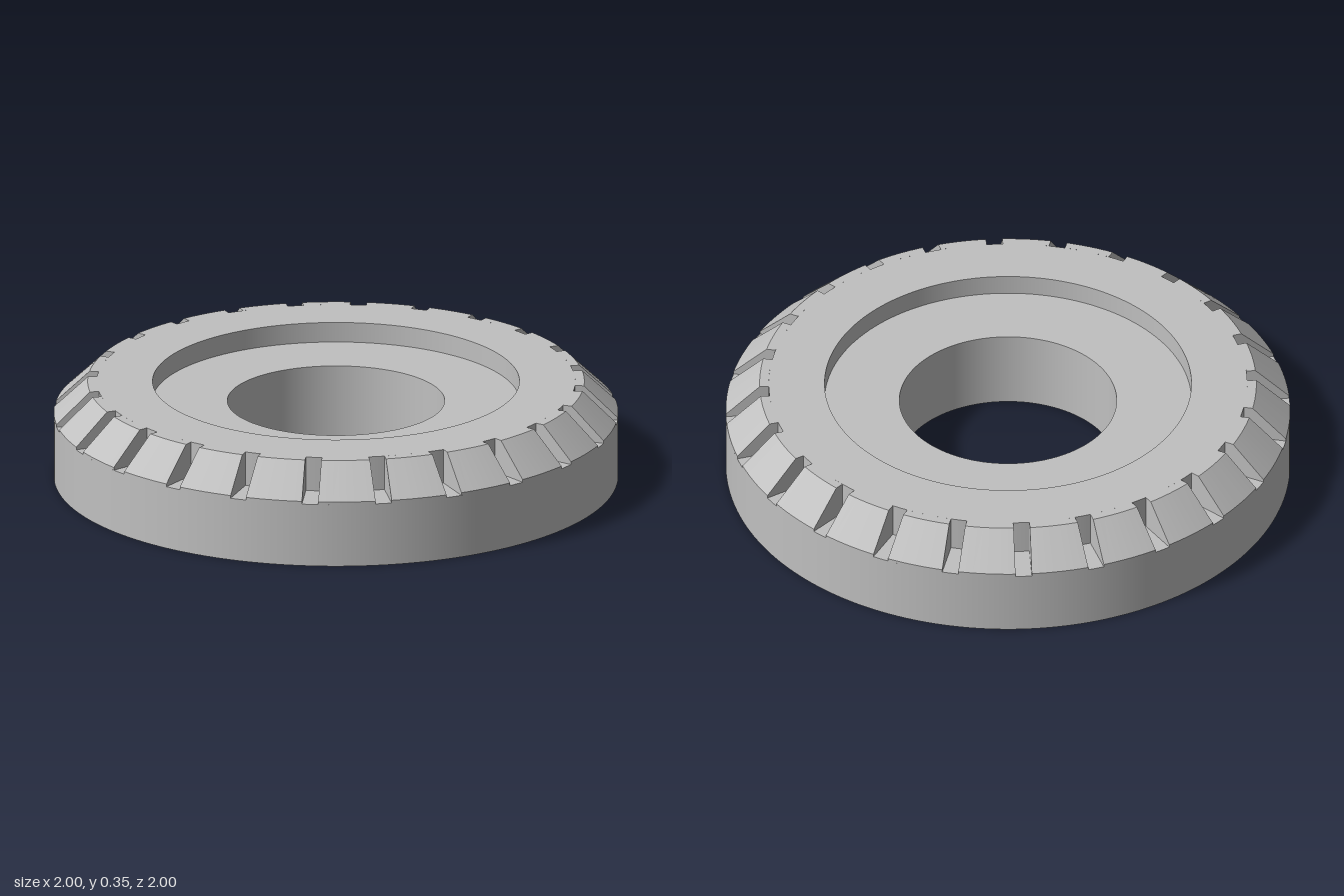
import * as THREE from 'three';
import { mergeGeometries } from 'three/addons/utils/BufferGeometryUtils.js';

const SEG = 192;              // sides of the round surfaces
const TEETH = 24;
const STEP = (Math.PI * 2) / TEETH;
const SLOT_HALF = 0.029;      // half the slot width
const SLOT_R = 0.848;         // inner end of the slots
const SLOT_Y = 0.23;          // floor of the slots
const TOP = 0.355, BORE = 0.385, RECESS = 0.65, RECESS_Y = 0.282;
const PIN_X = 0.707, PIN_R = 0.055, PIN_DEPTH = 0.15;

const lathe = (a, b) =>
  new THREE.LatheGeometry([new THREE.Vector2(...a), new THREE.Vector2(...b)], SEG);

// One chamfered tooth between two parallel-sided slots
function toothGeometry() {
  const profile = [[1, SLOT_Y], [1, 0.24], [0.88, TOP], [SLOT_R, TOP], [SLOT_R, SLOT_Y]];
  const n = 8;
  const point = (i, j) => {
    const [r, y] = profile[j];
    const gap = Math.asin(SLOT_HALF / r);
    const t = gap + (STEP - 2 * gap) * (i / n);
    return [r * Math.sin(t), y, r * Math.cos(t)];
  };
  const pos = [];
  const tri = (a, b, c) => pos.push(...a, ...b, ...c);
  // outer band, chamfer and top
  for (let j = 0; j < 3; j++) {
    for (let i = 0; i < n; i++) {
      tri(point(i, j), point(i + 1, j), point(i + 1, j + 1));
      tri(point(i, j), point(i + 1, j + 1), point(i, j + 1));
    }
  }
  // slot walls at both ends
  for (let j = 1; j < 4; j++) {
    tri(point(0, 0), point(0, j), point(0, j + 1));
    tri(point(n, 0), point(n, j + 1), point(n, j));
  }
  const g = new THREE.BufferGeometry();
  g.setAttribute('position', new THREE.Float32BufferAttribute(pos, 3));
  g.computeVertexNormals();
  return g;
}

export function createModel() {
  const model = new THREE.Group();
  model.name = 'slottedRing';
  const steel = new THREE.MeshStandardMaterial({ color: 0xc0c0c0 });
  steel.name = 'steel grey';
  const add = (name, geometry, parent = model) => {
    const mesh = new THREE.Mesh(geometry, steel);
    mesh.name = name;
    parent.add(mesh);
    return mesh;
  };

  // Ring body: each profile edge is its own band so corners stay sharp
  const profile = [[1, 0], [1, SLOT_Y], [SLOT_R, SLOT_Y], [SLOT_R, TOP],
    [RECESS, TOP], [RECESS, RECESS_Y], [BORE, RECESS_Y], [BORE, 0]];
  const bands = [];
  for (let i = 0; i < profile.length - 1; i++) bands.push(lathe(profile[i], profile[i + 1]));
  add('ringBody', mergeGeometries(bands));

  // Underside with the bore and two pin holes
  const face = new THREE.Shape().absarc(0, 0, 1, 0, Math.PI * 2);
  for (const [x, r] of [[0, BORE], [PIN_X, PIN_R], [-PIN_X, PIN_R]]) {
    face.holes.push(new THREE.Path().absarc(x, 0, r, 0, Math.PI * 2, true));
  }
  add('underside', new THREE.ShapeGeometry(face, SEG / 2).rotateX(Math.PI / 2));

  // Blind pin holes, facing inward
  for (const side of [1, -1]) {
    const wall = new THREE.LatheGeometry(
      [new THREE.Vector2(PIN_R, PIN_DEPTH), new THREE.Vector2(PIN_R, 0)], 48);
    const end = new THREE.CircleGeometry(PIN_R, 48).rotateX(Math.PI / 2).translate(0, PIN_DEPTH, 0);
    add('pinHole', mergeGeometries([wall, end])).position.x = side * PIN_X;
  }

  // Chamfered teeth around the upper rim
  const teeth = new THREE.Group();
  teeth.name = 'teeth';
  model.add(teeth);
  const tooth = toothGeometry();
  for (let i = 0; i < TEETH; i++) add('tooth', tooth, teeth).rotation.y = i * STEP;

  return model;
}
